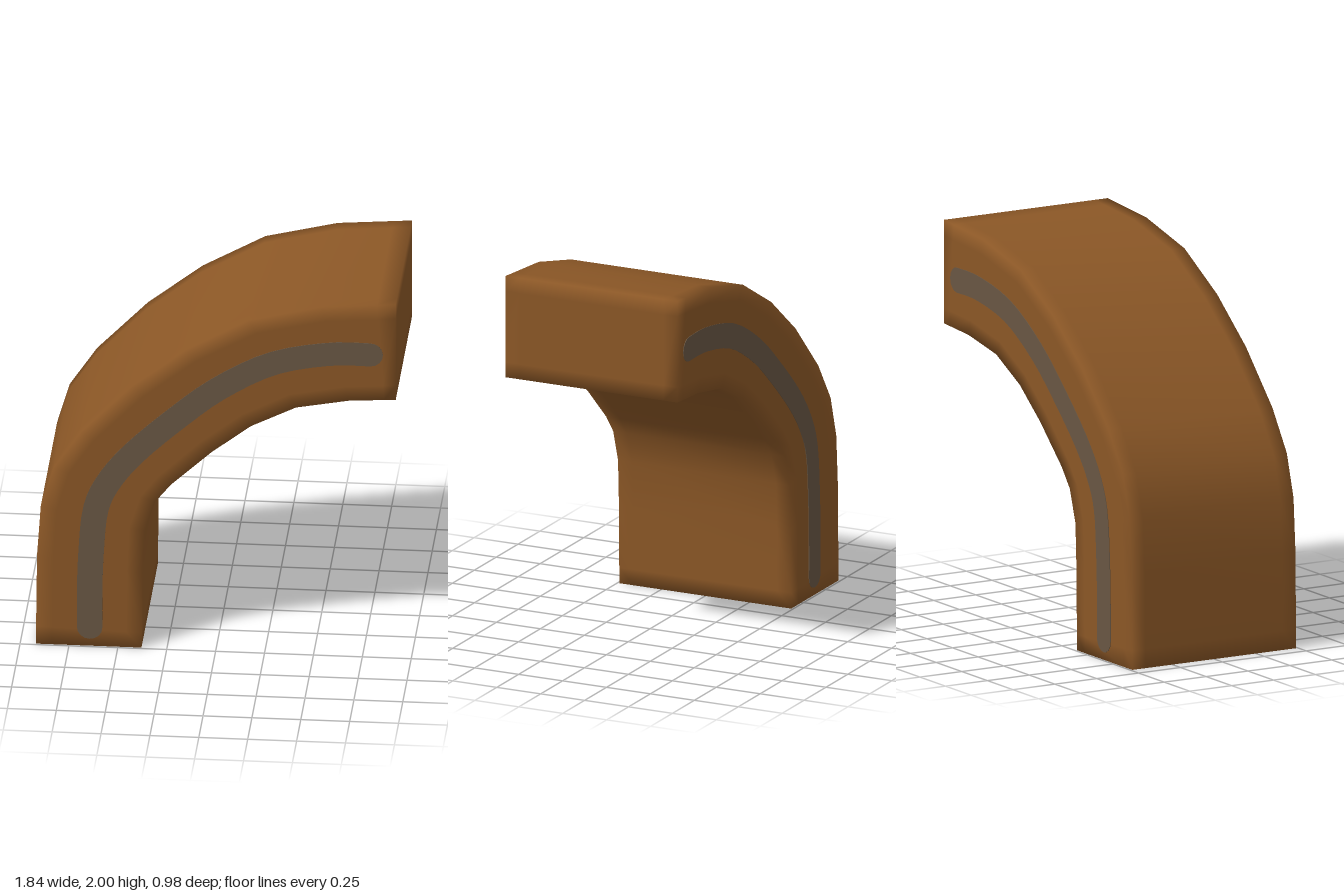
import * as THREE from 'three';
import { mergeVertices } from 'three/addons/utils/BufferGeometryUtils.js';

const bark = new THREE.MeshStandardMaterial({ color: 0x8b5726 });
bark.name = 'warm brown';
const groove = new THREE.MeshStandardMaterial({ color: 0x685643 });
groove.name = 'grey brown';

const HALF_DEPTH = 0.489;

// matching stations along the outer and inner edge, foot to free end
const outer = [[-0.92, 0], [-0.914, 0.5], [-0.895, 0.78], [-0.83, 1.0], [-0.69, 1.21],
  [-0.43, 1.48], [-0.15, 1.7], [0.17, 1.88], [0.54, 1.97], [0.92, 2]];
const inner = [[-0.38, 0], [-0.375, 0.42], [-0.365, 0.66], [-0.31, 0.83], [-0.23, 0.93],
  [-0.02, 1.125], [0.18, 1.28], [0.41, 1.395], [0.68, 1.445], [0.92, 1.46]];

function pointAt(list, u) {
  const i = Math.min(Math.floor(u), list.length - 2), f = u - i;
  return [0, 1].map((k) => list[i][k] * (1 - f) + list[i + 1][k] * f);
}

// bent block: a segmented box remapped onto the arc, with support loops for soft edge shading
function bentBlock() {
  const us = [0, 0.2, 1, 2, 3, 4, 5, 6, 7, 8, 8.75, 9];
  const vs = [0, 0.15, 0.85, 1];
  const ws = [-HALF_DEPTH, -0.41, 0.41, HALF_DEPTH];
  let geo = new THREE.BoxGeometry(1, 1, 1, us.length - 1, vs.length - 1, ws.length - 1);
  const pos = geo.attributes.position;
  const pick = (list, c) => list[Math.round((c + 0.5) * (list.length - 1))];
  for (let i = 0; i < pos.count; i++) {
    const u = pick(us, pos.getX(i)), v = pick(vs, pos.getY(i)), w = pick(ws, pos.getZ(i));
    const a = pointAt(inner, u), b = pointAt(outer, u);
    pos.setXYZ(i, a[0] + (b[0] - a[0]) * v, a[1] + (b[1] - a[1]) * v, w);
  }
  geo.deleteAttribute('uv');
  geo.deleteAttribute('normal');
  geo.clearGroups();
  geo = mergeVertices(geo, 1e-4);
  geo.computeVertexNormals();
  return geo;
}

// round-ended stripe following the middle of the arc
function stripeGeometry() {
  const path = new THREE.SplineCurve([[-0.645, 0.105], [-0.645, 0.3], [-0.638, 0.52], [-0.615, 0.77],
    [-0.55, 0.93], [-0.42, 1.1], [-0.2, 1.31], [0.02, 1.49], [0.29, 1.64], [0.58, 1.705], [0.79, 1.71],
  ].map((p) => new THREE.Vector2(...p)));
  const r = 0.065, n = 36, left = [], right = [];
  for (let i = 0; i <= n; i++) {
    const p = path.getPoint(i / n), t = path.getTangent(i / n);
    left.push(new THREE.Vector2(p.x - t.y * r, p.y + t.x * r));
    right.push(new THREE.Vector2(p.x + t.y * r, p.y - t.x * r));
  }
  const cap = (at, sign) => {
    const p = path.getPoint(at), t = path.getTangent(at), pts = [];
    const base = Math.atan2(t.y * sign, t.x * sign);
    for (let k = 1; k < 8; k++) {
      const a = base - Math.PI / 2 + (Math.PI * k) / 8;
      pts.push(new THREE.Vector2(p.x + Math.cos(a) * r, p.y + Math.sin(a) * r));
    }
    return pts;
  };
  const outline = [...right, ...cap(1, 1), ...left.reverse(), ...cap(0, -1)];
  return new THREE.ExtrudeGeometry(new THREE.Shape(outline), { depth: 0.004, bevelEnabled: false });
}

export function createModel() {
  const model = new THREE.Group();
  model.name = 'curvedBlock';

  const body = new THREE.Mesh(bentBlock(), bark);
  body.name = 'bentBody';
  model.add(body);

  // one stripe on the front face, one on the back face
  const geo = stripeGeometry();
  for (const [name, z] of [['frontStripe', HALF_DEPTH - 0.001], ['backStripe', -HALF_DEPTH - 0.003]]) {
    const stripe = new THREE.Mesh(geo, groove);
    stripe.name = name;
    stripe.position.z = z;
    model.add(stripe);
  }
  return model;
}
